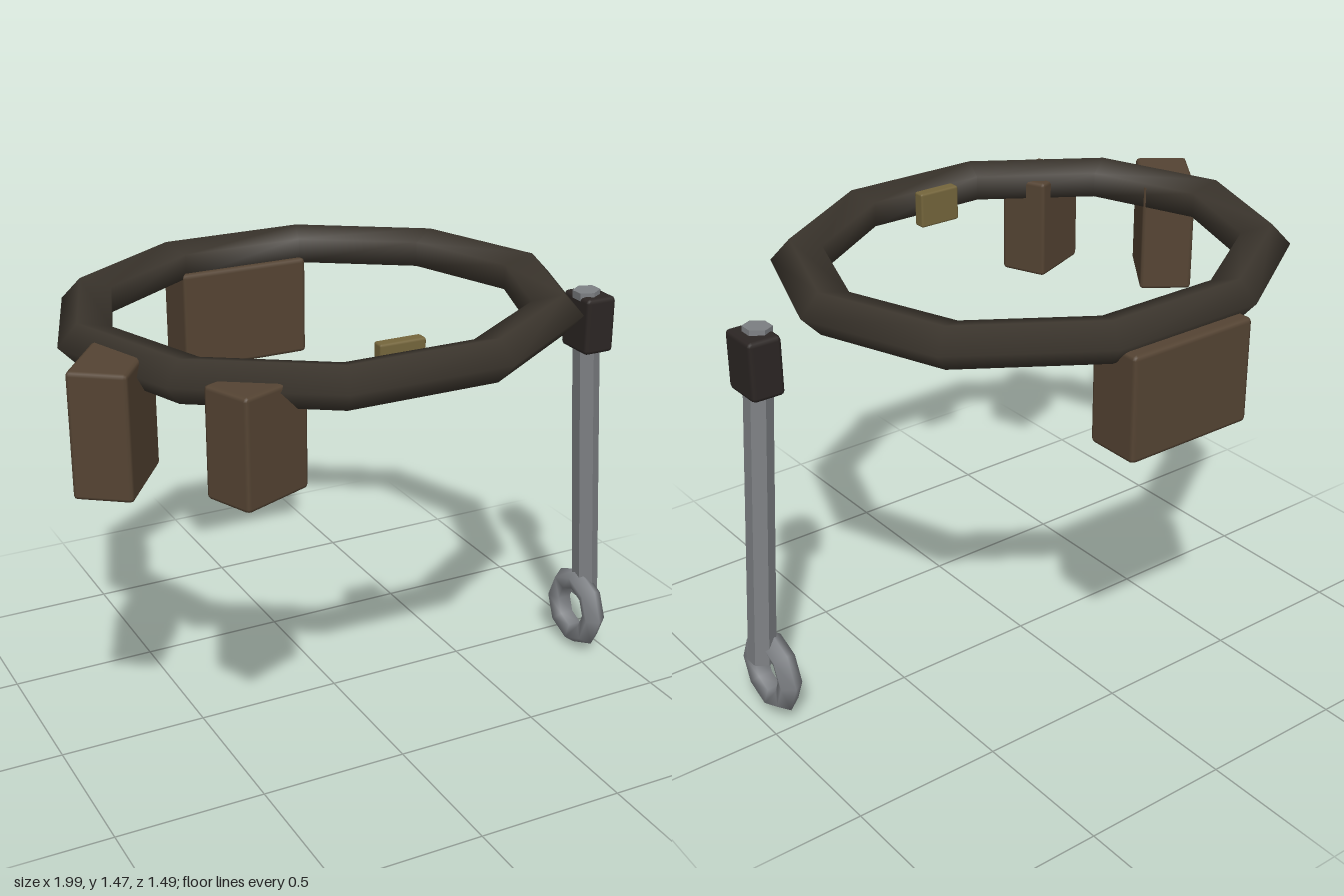
import * as THREE from 'three';
import { RoundedBoxGeometry } from 'three/addons/geometries/RoundedBoxGeometry.js';

const paint = (color, flatShading = false) => {
  const material = new THREE.MeshStandardMaterial({ color });
  material.flatShading = flatShading;
  return material;
};

export function createModel() {
  const model = new THREE.Group();
  const leather = paint(0x554433);
  const belted = paint(0x3b352d);
  const wrap = paint(0x2c2624);
  const brass = paint(0x75663c);
  const steel = paint(0x7d8083, true);
  const ringSteel = paint(0x83868a);

  const add = (name, geometry, material, position) => {
    const mesh = new THREE.Mesh(geometry, material);
    mesh.name = name;
    mesh.position.set(...position);
    model.add(mesh);
    return mesh;
  };

  // Box with a single narrow bevel, turned about the vertical axis
  const bevelBox = (name, size, position, material, bevel, turn = 0) => {
    const mesh = add(name, new RoundedBoxGeometry(...size, 1, bevel), material, position);
    mesh.rotation.y = THREE.MathUtils.degToRad(turn);
  };

  // Belt: ten-sided oval hoop with a five-sided section
  const hoop = new THREE.TorusGeometry(0.766, 0.094, 5, 10);
  hoop.rotateX(Math.PI / 2);
  hoop.scale(1, 0.755, 0.896);
  add('belt', hoop, belted, [-0.06, 1.405, 0.012]);

  // Pouches hanging from the belt, and the buckle plate
  bevelBox('backPouch', [0.46, 0.345, 0.19], [-0.06, 1.208, -0.65], leather, 0.015);
  bevelBox('sidePouch', [0.297, 0.39, 0.18], [-0.84, 1.25, 0.253], leather, 0.013, 54);
  bevelBox('frontPouch', [0.25, 0.345, 0.168], [-0.528, 1.253, 0.565], leather, 0.013, 22);
  bevelBox('buckle', [0.152, 0.12, 0.044], [-0.062, 1.405, 0.546], brass, 0.008);

  // Hexagonal rod, leaning outward towards its foot
  const top = new THREE.Vector3(0.876, 1.362, 0.135);
  const foot = new THREE.Vector3(0.956, 0.2, 0.135);
  const axis = top.clone().sub(foot);
  const middle = top.clone().add(foot).multiplyScalar(0.5);
  const rod = add('rod', new THREE.CylinderGeometry(0.046, 0.046, axis.length(), 6), steel, middle.toArray());
  rod.quaternion.setFromUnitVectors(new THREE.Vector3(0, 1, 0), axis.normalize());

  // Grip block around the top of the rod
  bevelBox('grip', [0.112, 0.195, 0.15], [0.894, 1.25, 0.132], wrap, 0.015);

  // Ring at the foot of the rod
  const ring = add('endRing', new THREE.TorusGeometry(0.1085, 0.0415, 5, 8), ringSteel, [0.924, 0.15, 0.132]);
  ring.rotation.y = Math.PI / 2;

  return model;
}
